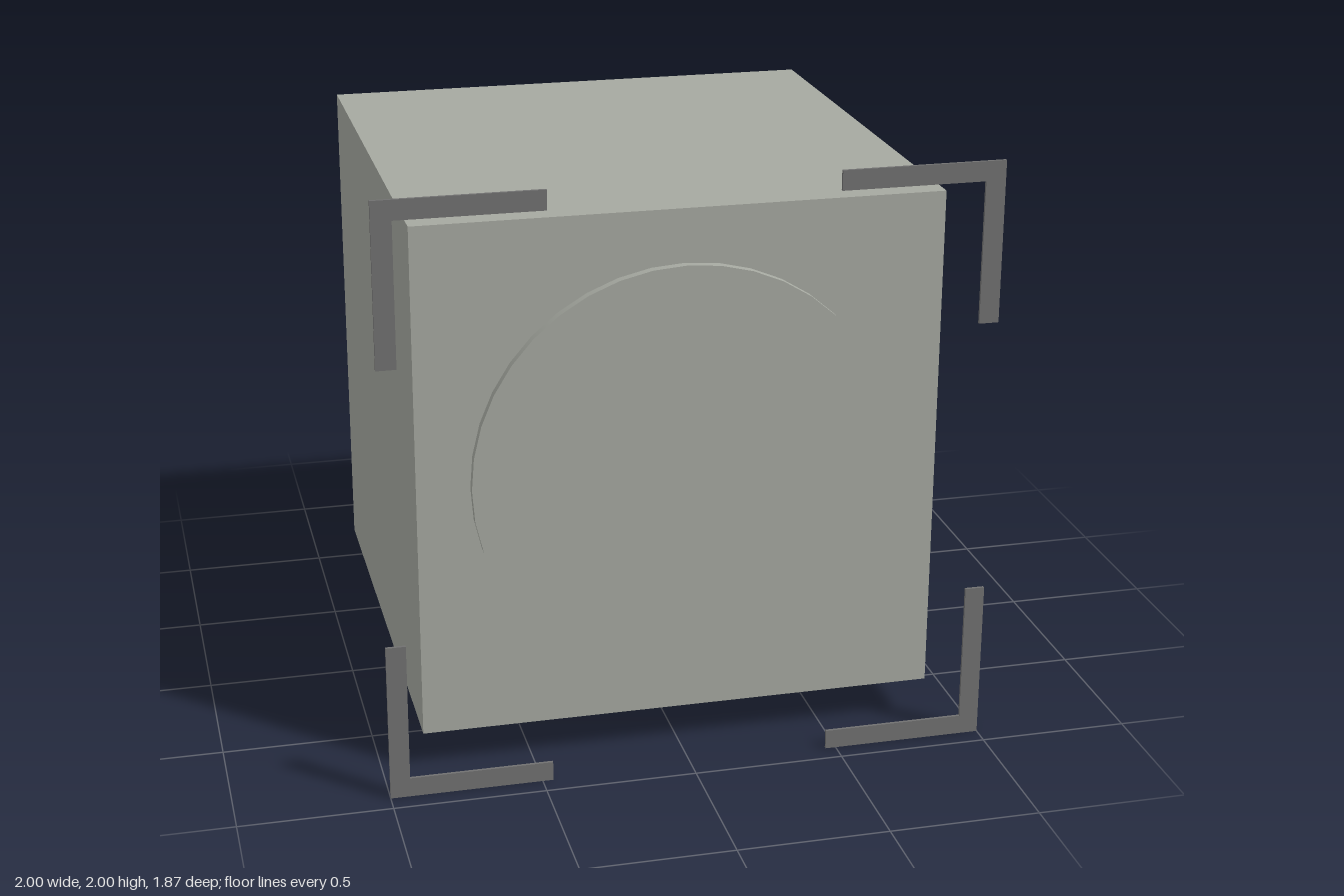
import * as THREE from 'three';

export function createModel() {
  const model = new THREE.Group();
  model.name = 'framedCube';
  const body = new THREE.MeshStandardMaterial({ color: 0xa5a8a0 });
  const dark = new THREE.MeshStandardMaterial({ color: 0x707070 });

  const add = (name, geometry, material, y, z) => {
    const mesh = new THREE.Mesh(geometry, material);
    mesh.name = name;
    mesh.position.set(0, y, z);
    model.add(mesh);
    return mesh;
  };

  // Main block
  add('cube', new THREE.BoxGeometry(1.73, 1.73, 1.71), body, 1, -0.08);

  // Thin disc floating just ahead of the front face
  const disc = new THREE.CylinderGeometry(0.695, 0.695, 0.03, 40).rotateX(Math.PI / 2);
  add('frontDisc', disc, body, 1, 0.815);

  // L-shaped corner bracket, drawn for the upper +x corner
  const inner = 0.465, edge = 0.935;
  const outline = new THREE.Shape([
    [1, 1], [inner, 1], [inner, edge], [edge, edge], [edge, inner], [1, inner],
  ].map(([x, y]) => new THREE.Vector2(x, y)));
  const bracket = new THREE.ExtrudeGeometry(outline, { depth: 0.01, bevelEnabled: false });

  // Quarter turns place a bracket at each corner
  ['upperLeft', 'upperRight', 'lowerRight', 'lowerLeft'].forEach((corner, i) => {
    add(corner + 'Bracket', bracket, dark, 1, 0.925).rotation.z = i * Math.PI / 2;
  });

  return model;
}
